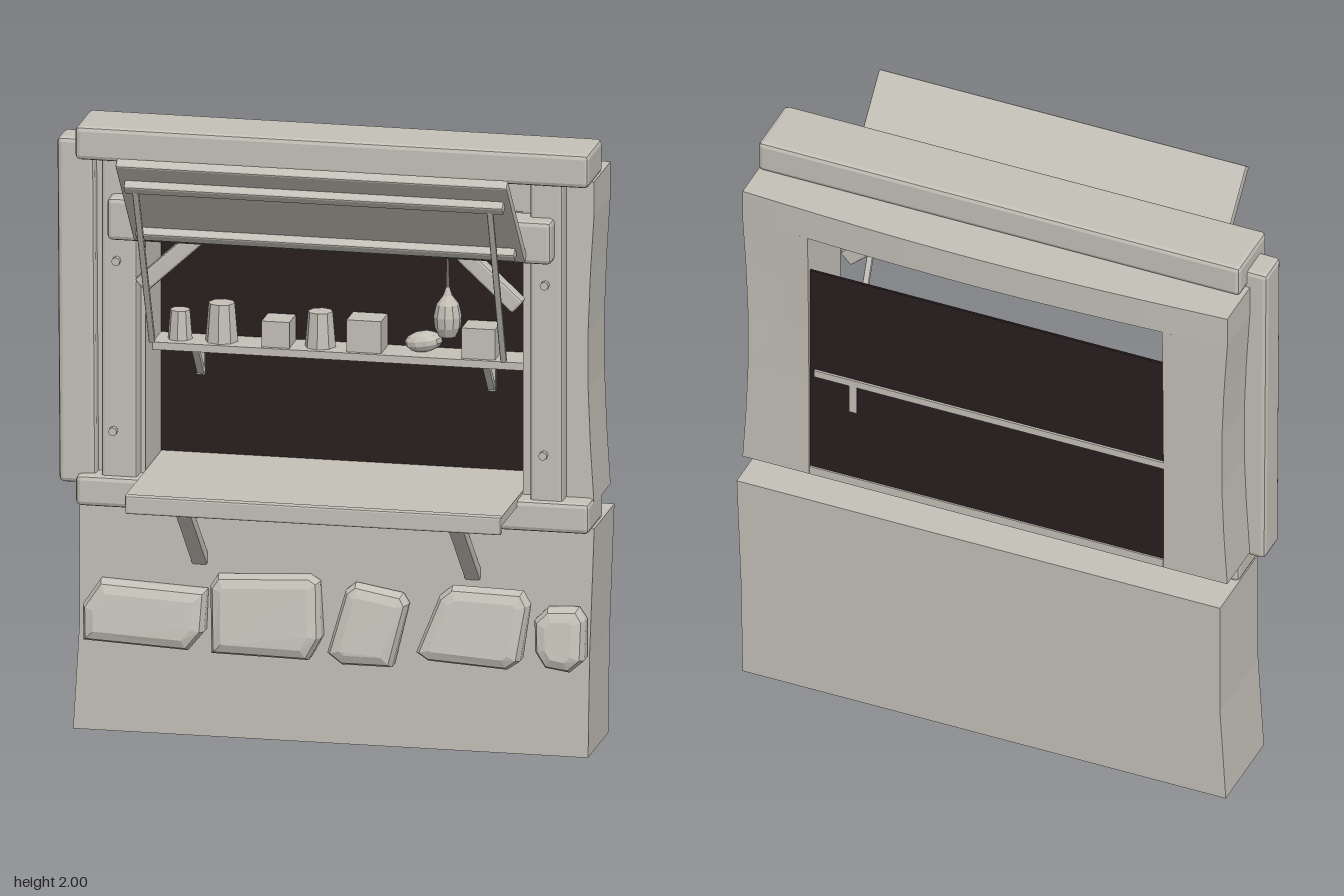
import * as THREE from 'three';
import { RoundedBoxGeometry } from 'three/addons/geometries/RoundedBoxGeometry.js';

export function createModel() {
  const model = new THREE.Group();
  model.name = 'marketWindow';
  const stone = new THREE.MeshStandardMaterial({ color: 0xc3c0b7 });
  stone.name = 'warm grey';
  const dark = new THREE.MeshStandardMaterial({ color: 0x291e1e });
  dark.name = 'dark brown';
  const shade = new THREE.MeshStandardMaterial({ color: 0x6e6f6b });
  shade.name = 'dark grey';

  // Faceted mesh from any geometry
  function add(name, geo, parent = model, mat = stone) {
    const flat = geo.index ? geo.toNonIndexed() : geo;
    flat.computeVertexNormals();
    const mesh = new THREE.Mesh(flat, mat);
    mesh.name = name;
    parent.add(mesh);
    return mesh;
  }

  // Box given by its limits; bevel > 0 chamfers the edges
  function block(name, [x0, x1], [y0, y1], [z0, z1], bevel = 0, parent = model, mat = stone) {
    const s = [x1 - x0, y1 - y0, z1 - z0];
    const geo = bevel ? new RoundedBoxGeometry(...s, 1, bevel) : new THREE.BoxGeometry(...s);
    const mesh = add(name, geo, parent, mat);
    mesh.position.set((x0 + x1) / 2, (y0 + y1) / 2, (z0 + z1) / 2);
    return mesh;
  }

  // Bevelled bar running from a to b, w wide and d deep
  function bar(name, a, b, w, d, bevel = 0.008) {
    const from = new THREE.Vector3(...a), to = new THREE.Vector3(...b);
    const mesh = add(name, new RoundedBoxGeometry(w, from.distanceTo(to), d, 1, bevel));
    mesh.position.copy(from).add(to).multiplyScalar(0.5);
    mesh.quaternion.setFromUnitVectors(new THREE.Vector3(0, 1, 0), to.sub(from).normalize());
    return mesh;
  }

  // Segmented box whose vertices are moved by a rule
  function bent(name, [x0, x1], [y0, y1], [z0, z1], segs, rule, mat = stone) {
    const geo = new THREE.BoxGeometry(x1 - x0, y1 - y0, z1 - z0, ...segs);
    geo.translate((x0 + x1) / 2, (y0 + y1) / 2, (z0 + z1) / 2);
    const p = geo.attributes.position, v = new THREE.Vector3();
    for (let i = 0; i < p.count; i++) {
      rule(v.fromBufferAttribute(p, i));
      p.setXYZ(i, v.x, v.y, v.z);
    }
    return add(name, geo, model, mat);
  }

  // Lower wall in two courses, slightly uneven at the ends, with a dark underside
  bent('lowerWallFoot', [-0.8, 0.855], [0, 0.34], [-0.345, -0.04], [1, 1, 1], v => {
    if (v.y < 0.1) v.x += v.x < 0 ? -0.02 : -0.005;
  }, [stone, stone, stone, shade, stone, stone]);
  bent('lowerWallTop', [-0.8, 0.855], [0.34, 0.755], [-0.345, -0.04], [6, 2, 1], v => {
    if (v.x > 0.8) v.x += 0.015 * (v.y - 0.34) / 0.415;
  });

  // Upper wall: waisted jambs and a header bulging at the back
  const waist = y => 0.02 * Math.sin(Math.PI * (y - 0.83) / 0.95);
  const bulge = x => 0.03 * Math.sin(Math.PI * (x + 0.81) / 1.675);
  const bendJamb = v => {
    if (v.z < -0.2) v.z -= bulge(v.x) * ((v.y - 0.83) / 0.95) ** 2;
    if (Math.abs(v.x) > 0.7) v.x -= Math.sign(v.x) * waist(v.y);
  };
  bent('leftJamb', [0.635, 0.865], [0.83, 1.78], [-0.31, -0.06], [2, 5, 1], bendJamb);
  bent('rightJamb', [-0.81, -0.59], [0.83, 1.78], [-0.31, -0.06], [2, 5, 1], bendJamb);
  bent('header', [-0.81, 0.865], [1.78, 1.89], [-0.31, -0.06], [12, 1, 1], v => {
    if (v.z < -0.2) v.z -= bulge(v.x);
  });
  block('backPanel', [-0.59, 0.635], [0.855, 1.64], [-0.304, -0.296], 0, model, dark);

  // Timber frame
  block('lintelBeam', [-0.8, 0.865], [1.89, 2], [-0.19, 0.03], 0.015);
  block('sillBeam', [-0.8, 0.865], [0.75, 0.85], [-0.195, 0.022], 0.015);
  block('crossBeam', [-0.69, 0.75], [1.64, 1.78], [-0.06, 0.06], 0.015);
  block('rightPost', [-0.72, -0.605], [0.84, 1.9], [-0.08, 0.0], 0.01);
  block('leftPost', [0.67, 0.775], [0.84, 1.9], [-0.08, 0.0], 0.01);
  block('sideBoard', [-0.865, -0.745], [0.815, 1.95], [-0.13, -0.015], 0.015).rotation.z = 0.006;
  bar('rightCornerBrace', [-0.59, 1.485, 0], [-0.4, 1.66, 0], 0.055, 0.05);
  bar('leftCornerBrace', [0.635, 1.485, 0], [0.445, 1.66, 0], 0.055, 0.05);
  for (const [x, y] of [[-0.67, 1.56], [-0.68, 1], [0.72, 1.56], [0.715, 1]]) {
    const peg = add('peg', new THREE.CylinderGeometry(0.014, 0.014, 0.05, 8));
    peg.rotation.x = Math.PI / 2;
    peg.position.set(x, y, -0.005);
  }

  // Raised shutter with battens and prop rods
  const shutter = new THREE.Group();
  shutter.name = 'shutter';
  shutter.position.set(0.035, 1.818, 0.2);
  shutter.rotation.x = 0.72;
  model.add(shutter);
  block('shutterBoard', [-0.635, 0.635], [-0.213, 0.213], [-0.018, 0.016], 0.006, shutter);
  for (const y of [0.12, -0.147])
    block('shutterBatten', [-0.615, 0.615], [y - 0.018, y + 0.018], [0.012, 0.045], 0.006, shutter);
  bar('rightPropRod', [-0.545, 1.9, 0.31], [-0.555, 1.3, 0], 0.02, 0.02, 0.005);
  bar('leftPropRod', [0.605, 1.9, 0.31], [0.585, 1.3, 0], 0.02, 0.02, 0.005);

  // Counter with front lip and slanted brackets
  block('counterTop', [-0.588, 0.633], [0.83, 0.86], [-0.31, 0.26]);
  block('counterLip', [-0.585, 0.633], [0.803, 0.862], [0.24, 0.272], 0.006);
  for (const x of [-0.41, 0.475])
    bar('counterBracket', [x, 0.835, 0.23], [x, 0.575, -0.055], 0.052, 0.04);

  // Shelf and its brackets
  block('shelf', [-0.59, 0.618], [1.225, 1.25], [-0.312, -0.17]);
  for (const [x, back] of [[-0.458, -0.298], [0.485, -0.309]]) {
    block('shelfBracketUpright', [x - 0.013, x + 0.013], [1.12, 1.23], [back, -0.28]);
    bar('shelfBracketArm', [x, 1.13, -0.285], [x, 1.23, -0.2], 0.024, 0.02, 0.004);
  }

  // Goods on the shelf
  for (const [x, r, h] of [[-0.515, 0.04, 0.095], [-0.38, 0.053, 0.125], [-0.06, 0.05, 0.115]])
    add('cup', new THREE.CylinderGeometry(r * 0.8, r, h, 8)).position.set(x, 1.25 + h / 2, -0.235);
  for (const [x, w, h] of [[-0.195, 0.09, 0.085], [0.092, 0.112, 0.105], [0.463, 0.108, 0.1]])
    block('smallBox', [x - w / 2, x + w / 2], [1.25, 1.25 + h], [-0.285, -0.185]);
  const loaf = add('lyingGourd', new THREE.SphereGeometry(1, 10, 7));
  loaf.scale.set(0.062, 0.034, 0.045);
  loaf.rotation.z = 0.15;
  loaf.position.set(0.275, 1.285, -0.235);
  const gourd = [[0, 1.3], [0.028, 1.31], [0.042, 1.34], [0.045, 1.375], [0.036, 1.415],
    [0.014, 1.445], [0.006, 1.47], [0.003, 1.57], [0, 1.571]].map(p => new THREE.Vector2(...p));
  add('hangingGourd', new THREE.LatheGeometry(gourd, 10)).position.set(0.355, 0, -0.225);

  // Bulging stones: front depth and outline, thicker towards the foot
  const stones = [
    [0.05, [-0.765, 0.32], [-0.44, 0.305], [-0.395, 0.36], [-0.39, 0.48], [-0.72, 0.495], [-0.77, 0.42]],
    [0.05, [-0.35, 0.3], [-0.05, 0.295], [-0.015, 0.36], [-0.025, 0.53], [-0.05, 0.545], [-0.34, 0.53], [-0.36, 0.5]],
    [0.06, [0.03, 0.32], [0.07, 0.29], [0.22, 0.29], [0.265, 0.48], [0.25, 0.505], [0.105, 0.53], [0.08, 0.51]],
    [0.065, [0.32, 0.34], [0.35, 0.32], [0.6, 0.305], [0.635, 0.33], [0.66, 0.5], [0.64, 0.535], [0.42, 0.54], [0.385, 0.51]],
    [0.055, [0.7, 0.36], [0.73, 0.315], [0.8, 0.305], [0.84, 0.34], [0.84, 0.46], [0.82, 0.49], [0.73, 0.485], [0.695, 0.45]]
  ];
  for (const [front, ...outline] of stones) {
    const geo = new THREE.ExtrudeGeometry(new THREE.Shape(outline.map(p => new THREE.Vector2(...p))), {
      depth: 0.05, bevelEnabled: true, bevelThickness: 0.035, bevelSize: 0.038,
      bevelOffset: -0.028, bevelSegments: 2
    });
    const p = geo.attributes.position;
    for (let i = 0; i < p.count; i++) {
      const z = p.getZ(i);
      if (z > 0.03) p.setZ(i, z - Math.max(0, p.getY(i) - 0.34) * 0.2);
    }
    add('wallStone', geo).position.z = front - 0.085;
  }

  return model;
}
